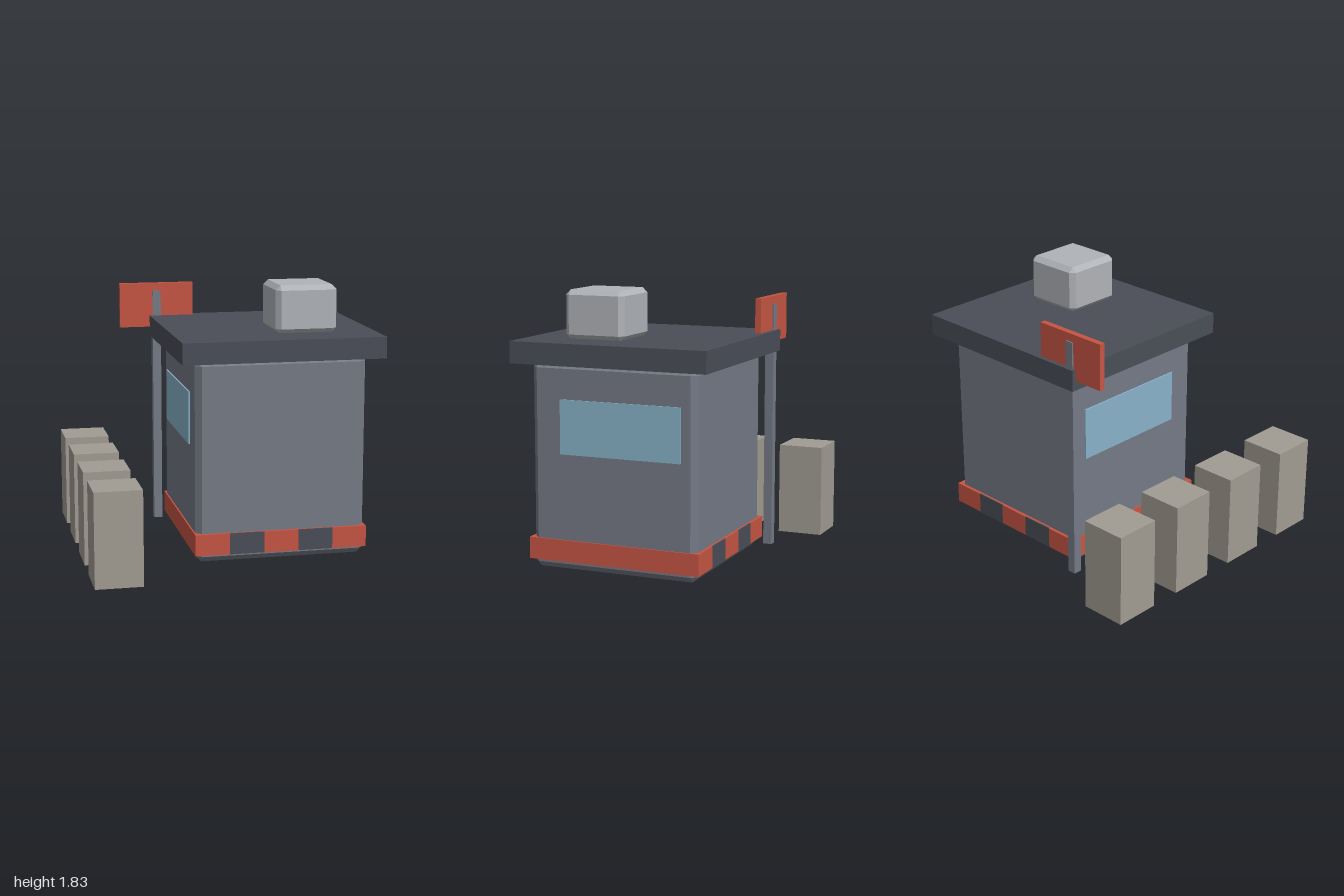
import * as THREE from 'three';
import { ConvexGeometry } from 'three/addons/geometries/ConvexGeometry.js';

function material(name, color) {
  const m = new THREE.MeshStandardMaterial({ color });
  m.name = name;
  return m;
}

export function createModel() {
  const wallGrey = material('wallGrey', 0x757a86);
  const darkGrey = material('darkGrey', 0x4a4e57);
  const red = material('red', 0xc65543);
  const glass = material('glass', 0x88b2c9);
  const concrete = material('concrete', 0xa19c92);
  const lightGrey = material('lightGrey', 0xb0b3b8);

  const model = new THREE.Group();
  model.name = 'guardBooth';

  function add(name, geometry, mat, x, y, z) {
    const mesh = new THREE.Mesh(geometry, mat);
    mesh.name = name;
    mesh.position.set(x, y, z);
    model.add(mesh);
  }

  // Box given by its limits on each axis
  function box(name, mat, [x0, x1], [y0, y1], [z0, z1]) {
    add(name, new THREE.BoxGeometry(x1 - x0, y1 - y0, z1 - z0), mat,
      (x0 + x1) / 2, (y0 + y1) / 2, (z0 + z1) / 2);
  }

  // Box with every edge cut at 45 degrees
  function chamferedBox(w, h, d, c) {
    const points = [];
    for (const sx of [-1, 1]) for (const sy of [-1, 1]) for (const sz of [-1, 1]) {
      for (let axis = 0; axis < 3; axis++) {
        const p = [w / 2 - c, h / 2 - c, d / 2 - c];
        p[axis] += c;
        points.push(new THREE.Vector3(sx * p[0], sy * p[1], sz * p[2]));
      }
    }
    return new ConvexGeometry(points);
  }

  const cx = 0.315, cz = -0.05;

  // Cabin, roof slab and rooftop unit
  add('cabin', chamferedBox(1.16, 1.37, 1.16, 0.04), wallGrey, cx, 0.685, cz);
  box('roof', darkGrey, [-0.37, 1], [1.36, 1.505], [-0.735, 0.63]);
  add('rooftopUnit', chamferedBox(0.42, 0.325, 0.42, 0.033), lightGrey, 0.525, 1.663, 0.158);

  // Side windows
  for (const side of [-1, 1]) {
    const x = cx + side * 0.585;
    box('window', glass, [x - 0.0049, x + 0.0049], [0.77, 1.13], [-0.525, 0.32]);
  }

  // Warning band with alternating plates on front and back
  box('warningBand', red, [-0.275, 0.905], [0.055, 0.2], [cz - 0.595, cz + 0.595]);
  const width = 1.18 / 5;
  for (const side of [-1, 1]) {
    for (let i = 0; i < 5; i++) {
      const x = -0.275 + i * width, z = cz + side * 0.598;
      box('warningStripe', i % 2 ? darkGrey : red, [x, x + width], [0.055, 0.2], [z - 0.004, z + 0.004]);
    }
  }

  // Sign on its post
  box('signPost', wallGrey, [-0.35, -0.29], [0, 1.685], [-0.715, -0.655]);
  box('signBoard', red, [-0.585, -0.055], [1.425, 1.74], [-0.705, -0.665]);

  // Row of concrete barriers
  for (let i = 0; i < 4; i++) {
    const z = (i - 1.5) * 0.527;
    box('barrier', concrete, [-1, -0.685], [0, 0.635], [z - 0.157, z + 0.157]);
  }

  return model;
}
